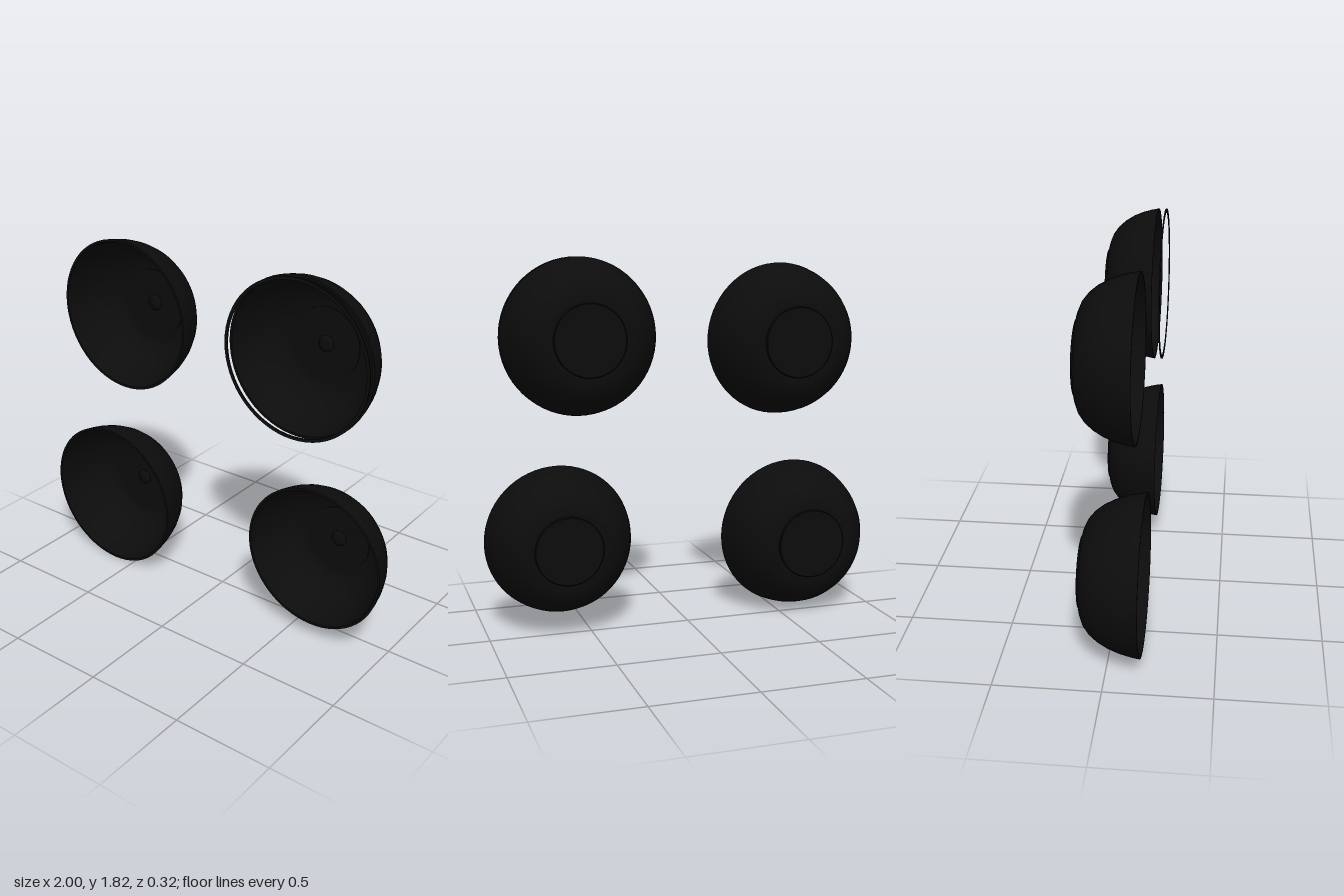
import * as THREE from 'three';
import { toCreasedNormals } from 'three/addons/utils/BufferGeometryUtils.js';

const black = new THREE.MeshStandardMaterial({ color: 0x0c0c0c });
black.name = 'black glaze';

const SEGMENTS = 64;
const FOOT = 0.014; // height of the foot ring

// Outer wall as [radius / rim radius, height / wall height]
const wall = [
  [0.56, 0], [0.66, 0.06], [0.75, 0.16], [0.83, 0.3],
  [0.9, 0.48], [0.95, 0.67], [0.98, 0.84], [1, 1],
];

// Turns a profile about the z axis, opening towards +z
function turned(name, points, crease = 0.6) {
  const lathe = new THREE.LatheGeometry(points.map(([r, h]) => new THREE.Vector2(r, h)), SEGMENTS);
  const geometry = toCreasedNormals(lathe, crease);
  geometry.rotateX(Math.PI / 2);
  const mesh = new THREE.Mesh(geometry, black);
  mesh.name = name;
  return mesh;
}

function createBowl({ name, x, y, radius, back, rim, looseRim }) {
  const bowl = new THREE.Group();
  bowl.name = name;
  bowl.position.set(x, y, back);
  const depth = rim - back;
  const thick = 0.012;
  const outer = wall.map(([r, h]) => [r * radius, FOOT + h * (depth - FOOT)]);
  const inner = wall.map(([r, h]) => [
    r * radius - thick, FOOT + thick + h * (depth - FOOT - thick),
  ]).reverse();
  const footRadius = 0.455 * radius;

  // Shell with its foot, lip and inside
  bowl.add(turned('shell', [
    [0, 0], [footRadius - 0.004, 0], [footRadius, 0.004], [footRadius, FOOT],
    ...outer, ...inner, [footRadius, FOOT + thick], [0, FOOT + thick],
  ]));

  // Raised floor disc and centre knob
  const floor = FOOT + thick;
  bowl.add(turned('floorDisc', [
    [footRadius, floor - 0.002], [footRadius, floor + 0.004], [0, floor + 0.004],
  ]));
  bowl.add(turned('centreKnob', [
    [0.042, floor], [0.038, floor + 0.01], [0.025, floor + 0.016], [0, floor + 0.018],
  ], 1));

  // Thin rim ring floating in front of the opening
  if (looseRim) {
    const z = looseRim - back;
    bowl.add(turned('rimRing', [
      [radius - 0.016, z - 0.006], [radius, z - 0.006], [radius, z],
      [radius - 0.016, z], [radius - 0.016, z - 0.006],
    ]));
  }
  return bowl;
}

export function createModel() {
  const model = new THREE.Group();
  model.name = 'bowls';
  [
    { name: 'upperRightBowl', x: -0.525, y: 1.408, radius: 0.383, back: -0.16, rim: 0.117 },
    { name: 'upperLeftBowl', x: 0.514, y: 1.44, radius: 0.384, back: -0.136, rim: 0.118, looseRim: 0.158 },
    { name: 'lowerRightBowl', x: -0.617, y: 0.384, radius: 0.383, back: -0.14, rim: 0.156 },
    { name: 'lowerLeftBowl', x: 0.63, y: 0.446, radius: 0.367, back: -0.14, rim: 0.133 },
  ].forEach((spec) => model.add(createBowl(spec)));
  return model;
}
